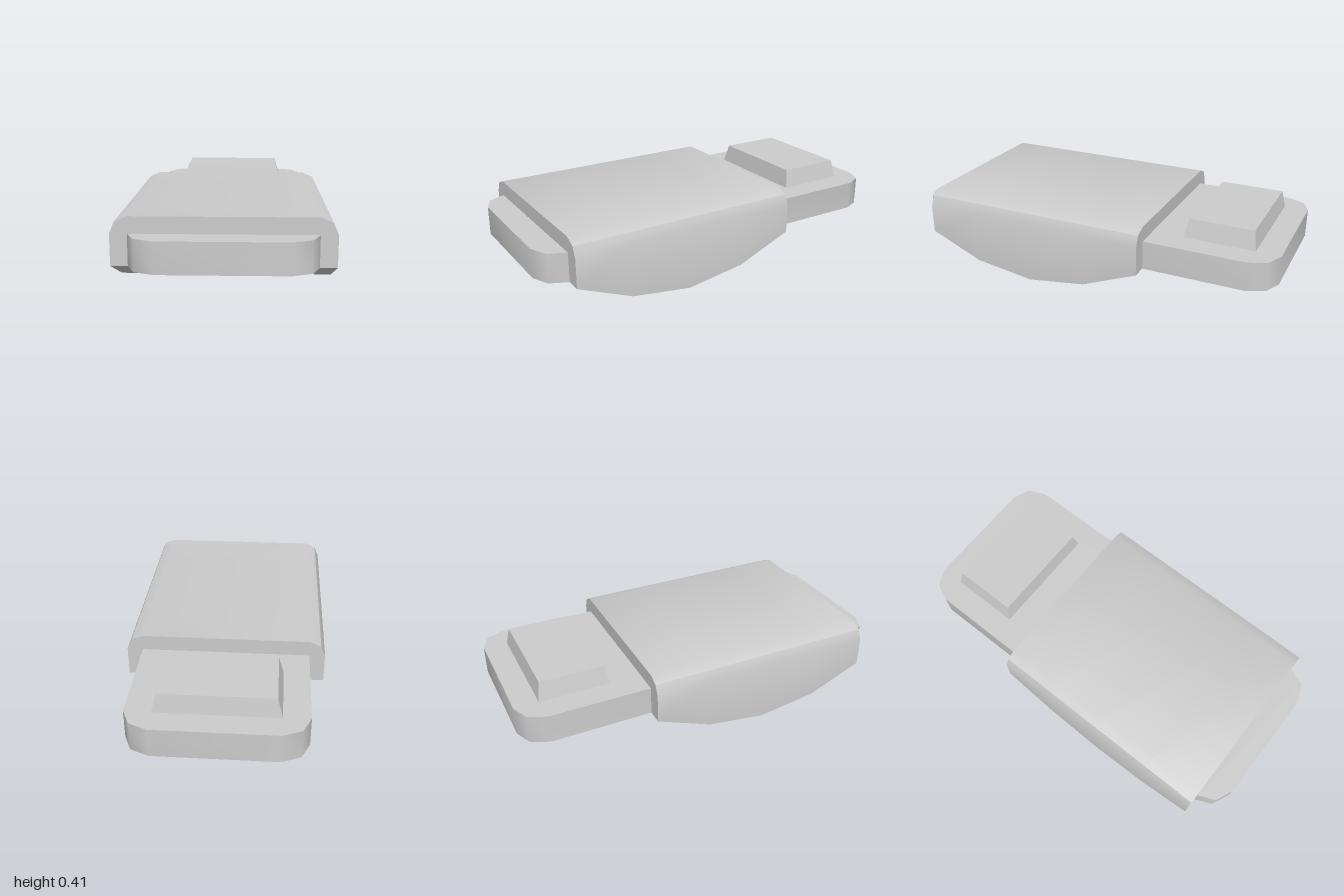
import * as THREE from 'three';
import { toCreasedNormals } from 'three/addons/utils/BufferGeometryUtils.js';

const CREASE = 0.75;
const PLATE_BOTTOM = 0.165, PLATE_TOP = 0.315;

const shapeOf = (points) => new THREE.Shape(points.map(([x, y]) => new THREE.Vector2(x, y)));

// Flat plate with softly chamfered corners
function plateGeometry() {
  const corner = [[0.43, 0.87], [0.39, 0.96], [0.30, 1]];
  const flip = (sx, sy) => corner.map(([x, y]) => [x * sx, y * sy]);
  const outline = [...flip(1, 1), ...flip(-1, 1).reverse(), ...flip(-1, -1), ...flip(1, -1).reverse()];
  const geo = new THREE.ExtrudeGeometry(shapeOf(outline), { depth: PLATE_TOP - PLATE_BOTTOM, bevelEnabled: false });
  geo.rotateX(-Math.PI / 2).translate(0, PLATE_BOTTOM, 0);
  return toCreasedNormals(geo, CREASE);
}

// Arched sleeve whose side walls dip down to a shallow keel
function sleeveGeometry() {
  const stations = [[-0.345, 0.165], [-0.05, 0.045], [0.265, 0], [0.585, 0.045], [0.87, 0.165]]; // z, lower edge y
  const half = [[0.43, PLATE_TOP], [0.43, 0], [0.51, 0], [0.51, 0.315], [0.487, 0.37], [0.43, 0.395]];
  const outline = [...half, ...half.map(([x, y]) => [-x, y]).reverse()];
  const steps = stations.length - 1;
  const geo = new THREE.ExtrudeGeometry(shapeOf(outline), { depth: steps, steps, bevelEnabled: false });
  const pos = geo.attributes.position;
  for (let i = 0; i < pos.count; i++) {
    const [z, low] = stations[Math.round(pos.getZ(i))];
    pos.setZ(i, z);
    if (pos.getY(i) < 0.01) pos.setY(i, low);
  }
  return toCreasedNormals(geo, CREASE);
}

// Raised block tapering towards its top
function blockGeometry() {
  const height = 0.41 - PLATE_TOP;
  const geo = new THREE.BoxGeometry(0.6, height, 0.365);
  const pos = geo.attributes.position;
  for (let i = 0; i < pos.count; i++) {
    if (pos.getY(i) > 0) pos.setXYZ(i, Math.sign(pos.getX(i)) * 0.275, height / 2, Math.sign(pos.getZ(i)) * 0.166);
  }
  geo.translate(0, PLATE_TOP + height / 2, -0.693);
  return toCreasedNormals(geo, 0.5);
}

export function createModel() {
  const group = new THREE.Group();
  const material = new THREE.MeshStandardMaterial({ color: 0xcccccc });
  const parts = { basePlate: plateGeometry(), sleeve: sleeveGeometry(), raisedBlock: blockGeometry() };
  for (const [name, geometry] of Object.entries(parts)) {
    const mesh = new THREE.Mesh(geometry, material);
    mesh.name = name;
    group.add(mesh);
  }
  return group;
}
